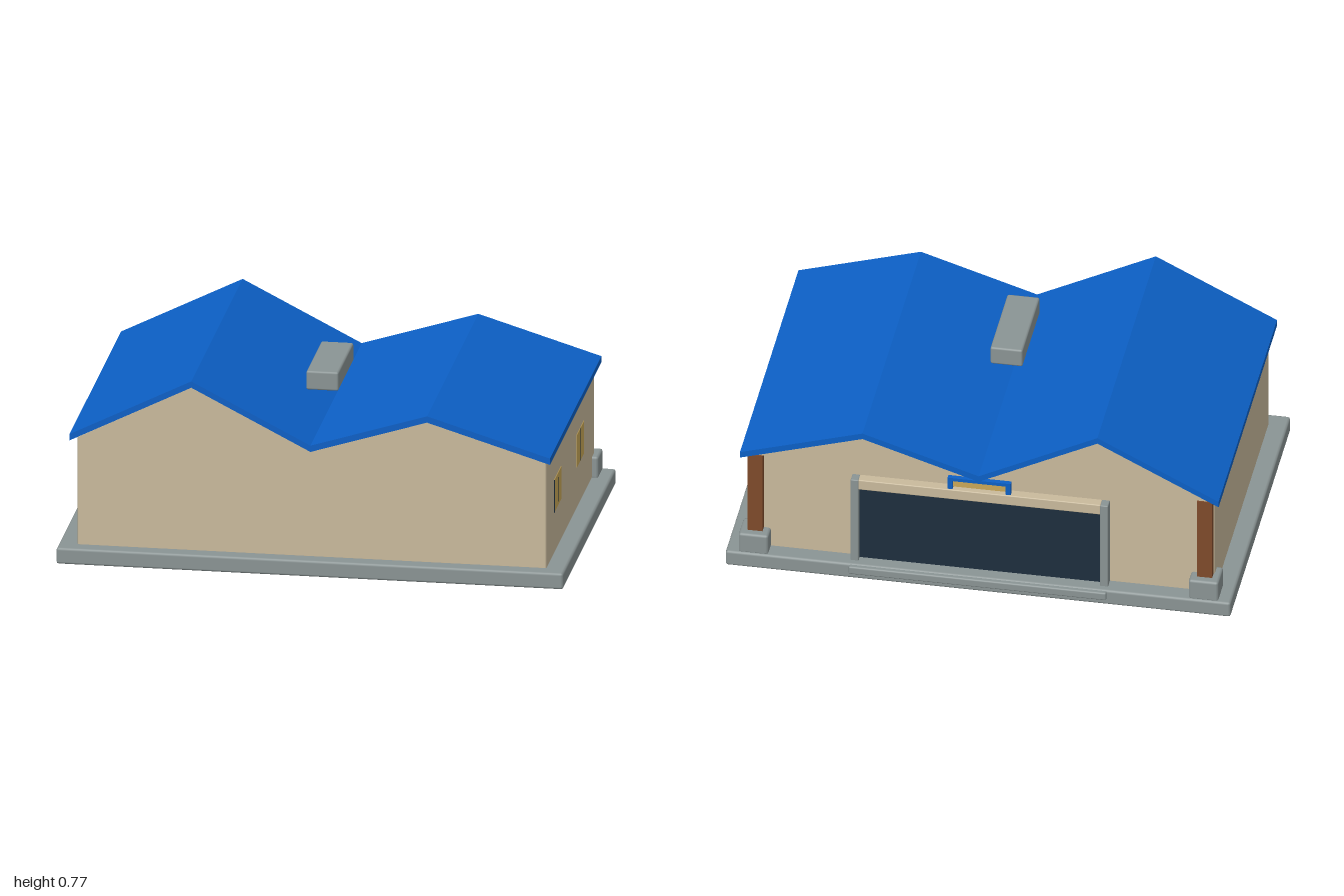
import * as THREE from 'three';
import { RoundedBoxGeometry } from 'three/addons/geometries/RoundedBoxGeometry.js';

function mat(name, color) {
  const m = new THREE.MeshStandardMaterial({ color });
  m.name = name;
  return m;
}

export function createModel() {
  const group = new THREE.Group();
  const stone = mat('grey stone', 0x8a9494);
  const plaster = mat('beige plaster', 0xc9ba9c);
  const blue = mat('blue roof', 0x0c60c6);
  const wood = mat('brown wood', 0x7f4b2b);
  const yellow = mat('window yellow', 0xc9a757);
  const dark = mat('dark glass', 0x1d2e3d);

  const add = (name, geometry, material) => {
    const mesh = new THREE.Mesh(geometry, material);
    mesh.name = name;
    group.add(mesh);
    return mesh;
  };

  // Box given by its limits, optionally with a small chamfer
  const box = (name, material, [x0, x1], [y0, y1], [z0, z1], bevel = 0) => {
    const size = [x1 - x0, y1 - y0, z1 - z0];
    const geometry = bevel
      ? new RoundedBoxGeometry(...size, 1, bevel)
      : new THREE.BoxGeometry(...size);
    add(name, geometry, material)
      .position.set((x0 + x1) / 2, (y0 + y1) / 2, (z0 + z1) / 2);
  };

  // Outline in x and y, extruded from z0 to z1
  const prism = (name, material, points, z0, z1) => {
    const shape = new THREE.Shape(points.map(([x, y]) => new THREE.Vector2(x, y)));
    const geometry = new THREE.ExtrudeGeometry(shape, { depth: z1 - z0, bevelEnabled: false });
    geometry.translate(0, 0, z0);
    add(name, geometry, material);
  };

  // Foundation and doorstep
  box('foundation', stone, [-1, 1], [0, 0.066], [-0.645, 0.66], 0.01);
  box('doorstep', stone, [-0.51, 0.51], [0.028, 0.062], [-0.66, -0.6], 0.006);

  // Walls and the double gable above them
  box('walls', plaster, [-0.925, 0.925], [0.06, 0.512], [-0.575, 0.6], 0.007);
  prism('gables', plaster, [
    [-0.925, 0.505], [0.925, 0.505], [0.46, 0.645], [0, 0.508], [-0.47, 0.737],
  ], -0.6, 0.6);

  // Folded roof, one ribbon of constant vertical thickness
  const ridge = [[-0.95, 0.53], [-0.47, 0.772], [0, 0.533], [0.46, 0.678], [0.945, 0.53]];
  const underside = ridge.map(([x, y]) => [x, y - 0.026]).reverse();
  prism('roof', blue, [...underside, ...ridge.slice()], -0.628, 0.638);

  // Roof vent
  box('roofVent', stone, [-0.066, 0.062], [0.658, 0.735], [-0.04, 0.335], 0.008);

  // Corner posts on stone blocks at the back
  for (const s of [-1, 1]) {
    const span = (a, b) => (s > 0 ? [a, b] : [-b, -a]);
    box('cornerPost', wood, span(0.86, 0.92), [0.14, 0.506], [-0.605, -0.545]);
    box('postBlock', stone, span(0.832, 0.95), [0.06, 0.15], [-0.637, -0.52], 0.01);
    box('doorJamb', stone, span(0.478, 0.51), [0.06, 0.445], [-0.616, -0.57], 0.004);
    box('signBracket', blue, span(0.105, 0.125), [0.452, 0.503], [-0.618, -0.595]);
  }

  // Wide back door
  box('doorPanel', dark, [-0.48, 0.48], [0.06, 0.405], [-0.59, -0.57]);
  box('doorHeader', plaster, [-0.48, 0.48], [0.4, 0.445], [-0.614, -0.57], 0.004);

  // Small panel over the door
  box('signPanel', yellow, [-0.106, 0.106], [0.46, 0.492], [-0.61, -0.575]);
  box('signTop', blue, [-0.125, 0.125], [0.49, 0.504], [-0.618, -0.595]);

  // Windows on the left wall
  for (const [z0, z1] of [[0.24, 0.415], [-0.317, -0.142]]) {
    box('window', yellow, [0.922, 0.927], [0.233, 0.367], [z0, z1]);
  }
  for (const [z, y0, y1] of [[0.415, 0.233, 0.367], [0.327, 0.25, 0.35],
    [-0.226, 0.233, 0.367], [-0.233, 0.233, 0.367]]) {
    box('windowBar', dark, [0.922, 0.928], [y0, y1], [z - 0.002, z + 0.002]);
  }

  return group;
}
